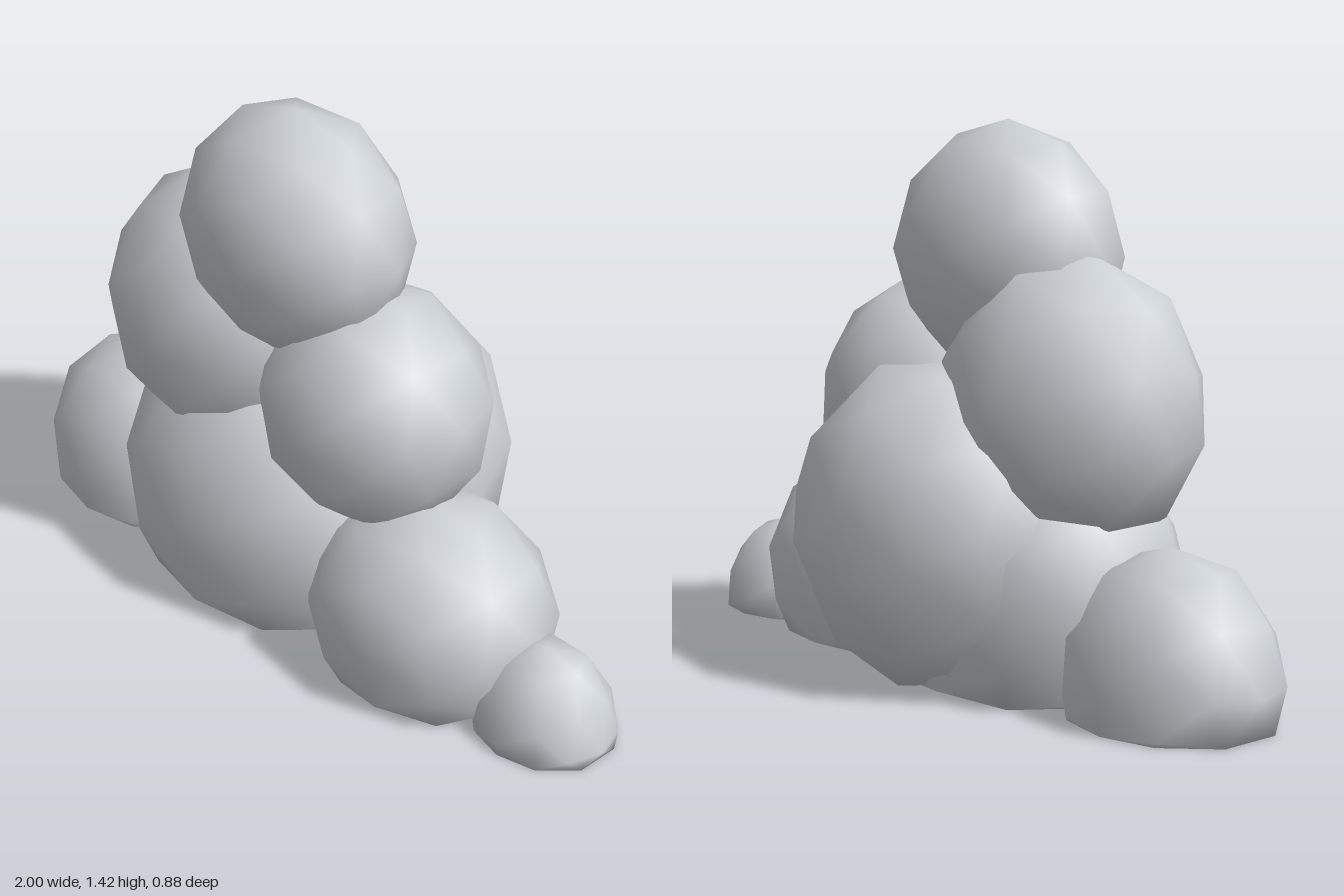
import * as THREE from 'three';
import { mergeVertices } from 'three/addons/utils/BufferGeometryUtils.js';

// Each puff: name, centre, radii, turn of its facets
const PUFFS = [
  ['topPuff', [-0.07, 1.08, 0.10], [0.33, 0.34, 0.26], [0, 0.15, 0]],
  ['upperLeftSidePuff', [-0.33, 0.735, 0.08], [0.37, 0.385, 0.31], [0, 0, 0.26]],
  ['upperRightSidePuff', [0.18, 0.67, 0.07], [0.32, 0.33, 0.285], [0, 0, 0.2]],
  ['frontBasePuff', [-0.17, 0.25, 0.08], [0.47, 0.45, 0.36], [0, 0, 0]],
  ['backBasePuff', [-0.03, 0.40, -0.08], [0.43, 0.44, 0.37], [0.26, 0, 0]],
  ['lowerLeftSidePuff', [-0.69, 0.11, 0.08], [0.31, 0.32, 0.255], [0, 0, 0]],
  ['lowerRightSidePuff', [0.42, 0.18, 0.10], [0.35, 0.325, 0.295], [0, 0.1, 0.1]],
  ['endPuff', [0.80, 0.03, 0.08], [0.20, 0.22, 0.17], [0, 0, 0]],
];

// Low-poly smooth ellipsoid with a flat base on the ground
function puffGeometry(centre, radii, turn) {
  let geo = new THREE.IcosahedronGeometry(1, 1);
  geo.deleteAttribute('uv');
  geo.deleteAttribute('normal');
  geo = mergeVertices(geo, 1e-4);
  geo.rotateX(turn[0]).rotateY(turn[1]).rotateZ(turn[2]);

  // Lift vertices below ground level, spreading the outer ones to the rim
  const pos = geo.attributes.position;
  const ground = -centre[1] / radii[1];
  const rim = Math.sqrt(Math.max(0, 1 - ground * ground));
  for (let i = 0; i < pos.count; i++) {
    if (pos.getY(i) >= ground) continue;
    const reach = Math.hypot(pos.getX(i), pos.getZ(i));
    const spread = reach > 0.6 * rim ? rim / reach : 1;
    pos.setXYZ(i, pos.getX(i) * spread, ground, pos.getZ(i) * spread);
  }
  geo.scale(...radii);
  geo.translate(...centre);
  geo.computeVertexNormals();
  return geo;
}

export function createModel() {
  const model = new THREE.Group();
  model.name = 'cloud';
  const cloudGrey = new THREE.MeshStandardMaterial({ color: 0xccd1d6 });
  cloudGrey.name = 'cloudGrey';
  for (const [name, centre, radii, turn] of PUFFS) {
    const puff = new THREE.Mesh(puffGeometry(centre, radii, turn), cloudGrey);
    puff.name = name;
    model.add(puff);
  }
  return model;
}
